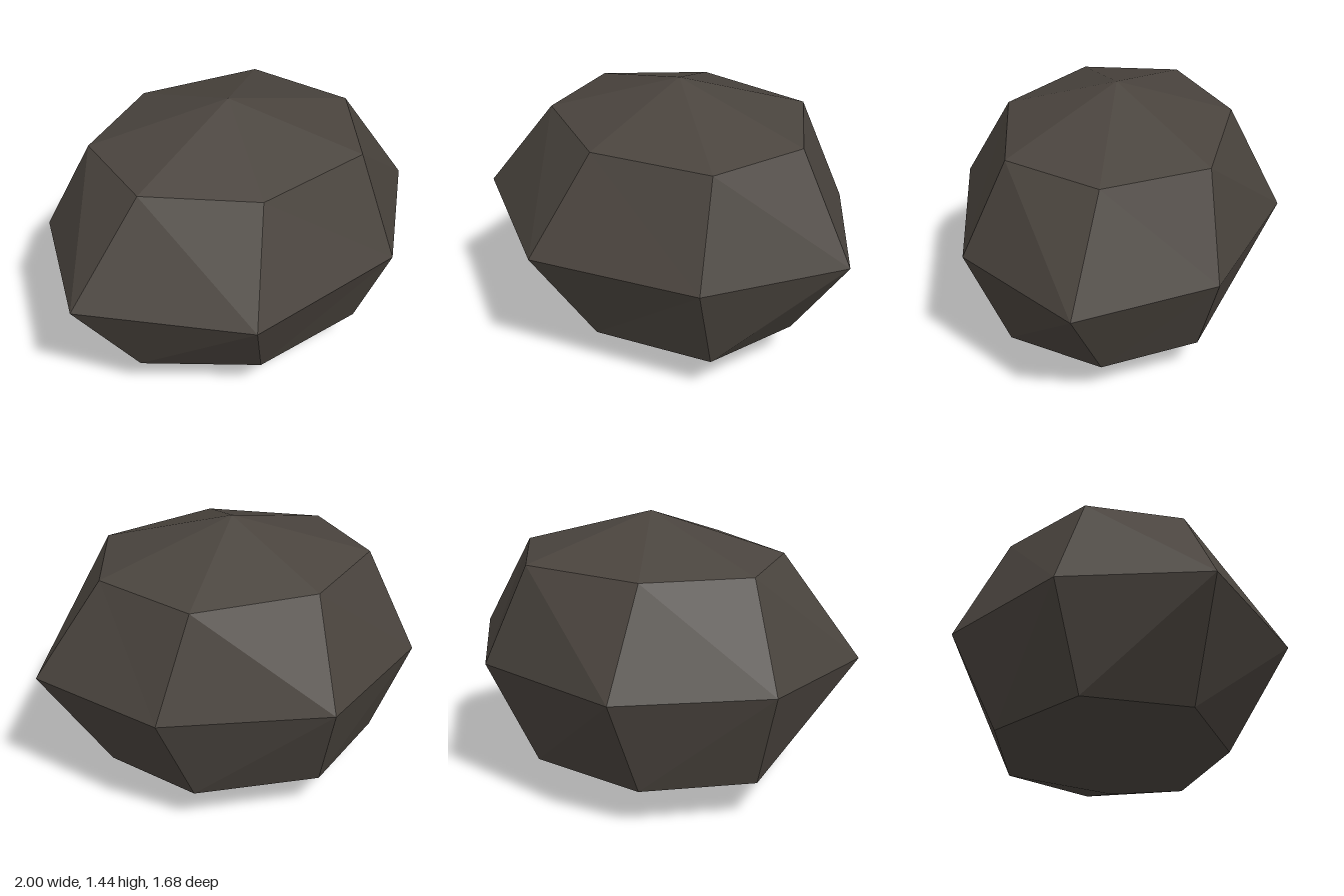
import * as THREE from 'three';

// A faceted boulder: three seven-sided rings closed by a point above and below
const upper = [[-0.26, -0.57], [0.37, -0.56], [0.67, -0.1], [0.5, 0.39], [-0.1, 0.55], [-0.61, 0.27], [-0.68, -0.22]];
const middle = [[-0.25, -0.84], [0.57, -0.65], [1, -0.04], [0.59, 0.6], [-0.26, 0.84], [-1, 0.35], [-0.88, -0.37]];
const lower = [[-0.28, -0.61], [0.35, -0.53], [0.65, -0.1], [0.51, 0.4], [-0.1, 0.55], [-0.65, 0.29], [-0.73, -0.24]];

function boulderGeometry() {
  const ring = (points, y) => points.map(([x, z]) => [x, y, z]);
  const top = [-0.02, 1.44, -0.03];
  const bottom = [-0.02, 0, -0.03];
  const u = ring(upper, 1.23);
  const m = ring(middle, 0.72);
  const l = ring(lower, 0.21);
  const positions = [];
  const tri = (...corners) => corners.forEach((c) => positions.push(...c));

  for (let i = 0; i < 7; i++) {
    const j = (i + 1) % 7;
    // top cap
    tri(top, u[j], u[i]);
    // upper band
    tri(m[j], m[i], u[j]);
    tri(m[i], u[i], u[j]);
    // lower band
    tri(l[j], l[i], m[i]);
    tri(l[j], m[i], m[j]);
    // bottom cap
    tri(bottom, l[i], l[j]);
  }

  const geometry = new THREE.BufferGeometry();
  geometry.setAttribute('position', new THREE.Float32BufferAttribute(positions, 3));
  geometry.computeVertexNormals(); // unshared corners give flat facets
  return geometry;
}

export function createModel() {
  const stone = new THREE.MeshStandardMaterial({ color: 0x4a443e, flatShading: true });
  stone.name = 'dark stone';

  const boulder = new THREE.Mesh(boulderGeometry(), stone);
  boulder.name = 'boulder';

  const group = new THREE.Group();
  group.name = 'rock';
  group.add(boulder);
  return group;
}
